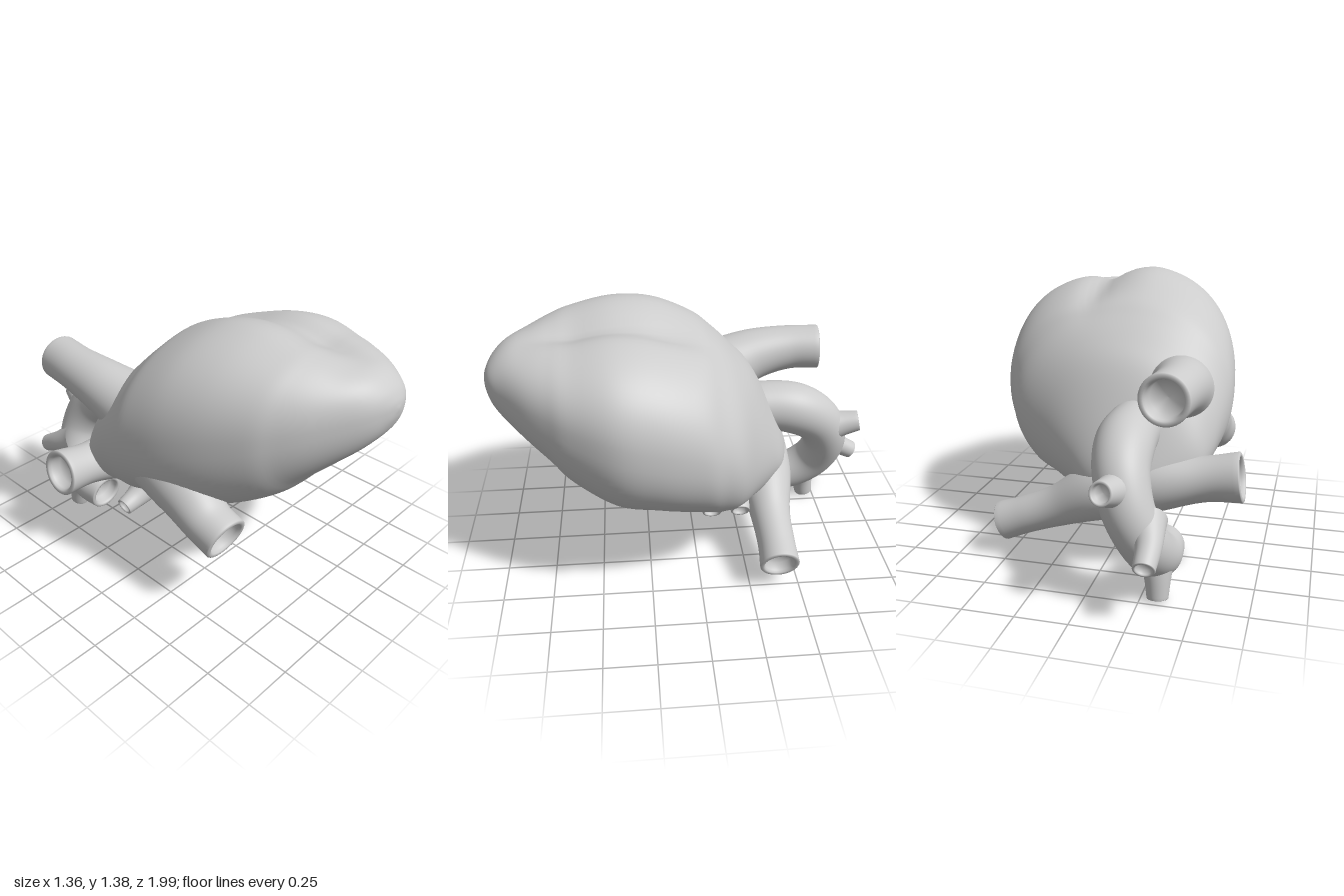
import * as THREE from 'three';

const material = new THREE.MeshStandardMaterial({ color: 0xcccccc, side: THREE.DoubleSide });
const SEG = 48;
const { smoothstep, lerp } = THREE.MathUtils;

// Joins closed rings of points into one smooth skin.
function skin(name, rings) {
  const n = rings[0].length, index = [];
  for (let i = 0; i < rings.length - 1; i++) {
    for (let j = 0; j < n; j++) {
      const a = i * n + j, b = i * n + (j + 1) % n;
      index.push(a, b, a + n, b, b + n, a + n);
    }
  }
  const geometry = new THREE.BufferGeometry().setFromPoints(rings.flat());
  geometry.setIndex(index);
  geometry.computeVertexNormals();
  const mesh = new THREE.Mesh(geometry, material);
  mesh.name = name;
  return mesh;
}

// Muscle body: cross-sections from the back to the rounded apex.
function heartBody() {
  // z, left x, right x, bottom y, top y, y of greatest width
  const sections = [
    [-0.52, -0.16, -0.12, 0.47, 0.50, 0.48],
    [-0.48, -0.32, 0.06, 0.36, 0.61, 0.48],
    [-0.40, -0.45, 0.20, 0.31, 0.79, 0.55],
    [-0.30, -0.50, 0.36, 0.29, 0.98, 0.62],
    [-0.20, -0.53, 0.52, 0.29, 1.10, 0.70],
    [-0.10, -0.55, 0.59, 0.31, 1.20, 0.75],
    [0.00, -0.56, 0.64, 0.36, 1.28, 0.80],
    [0.20, -0.54, 0.68, 0.42, 1.37, 0.86],
    [0.40, -0.48, 0.68, 0.46, 1.395, 0.92],
    [0.60, -0.38, 0.60, 0.58, 1.36, 0.98],
    [0.70, -0.30, 0.54, 0.69, 1.33, 1.01],
    [0.80, -0.20, 0.47, 0.79, 1.29, 1.04],
    [0.90, -0.07, 0.38, 0.89, 1.25, 1.07],
    [0.96, 0.03, 0.32, 0.97, 1.20, 1.09],
    [0.99, 0.12, 0.26, 1.04, 1.15, 1.10],
    [1.00, 0.19, 0.21, 1.09, 1.11, 1.10],
  ];
  const spline = k => new THREE.CatmullRomCurve3(
    sections.map(s => new THREE.Vector3(s[k], s[k + 1], s[k + 2])), false, 'catmullrom');
  const widths = spline(0), heights = spline(3);
  const rings = [], steps = 75;
  for (let i = 0; i <= steps; i++) {
    const { x: z, y: left, z: right } = widths.getPoint(i / steps);
    const { x: bottom, y: top, z: mid } = heights.getPoint(i / steps);
    const front = smoothstep(z, -0.3, 0.2);
    const furrow = smoothstep(z, -0.2, 0.2) * (1 - smoothstep(z, 0.55, 0.88));
    const ring = [];
    for (let j = 0; j < 96; j++) {
      const a = j / 96 * Math.PI * 2, c = Math.cos(a), s = Math.sin(a);
      const power = 2 / lerp(2, s > 0 ? 2.3 : 2.3 - 0.3 * s, front);
      const x = (left + right) / 2 + (right - left) / 2 * Math.sign(c) * Math.abs(c) ** power;
      let y = mid + (s > 0 ? top - mid : mid - bottom) * Math.sign(s) * Math.abs(s) ** power;
      // left ventricle sits lower on top, beyond a furrow
      const drop = 0.055 * smoothstep(x, -0.1, 0.2) + 0.035 * Math.exp(-(((x - 0.19) / 0.08) ** 2));
      y -= furrow * Math.max(s, 0) * drop;
      // underside rises under the left ventricle
      y = Math.max(y, 0.29 + 0.14 * smoothstep(x, 0.05, 0.33));
      ring.push(new THREE.Vector3(x, y, z));
    }
    rings.push(ring);
  }
  // close the ends
  const point = ([z, l, r, b, t]) =>
    Array.from({ length: 96 }, () => new THREE.Vector3((l + r) / 2, (b + t) / 2, z));
  return skin('heartBody', [point(sections[0]), ...rings, point(sections.at(-1))]);
}

// Vessel along points [x, y, z, radius]; ends can be hollow with a rounded rim.
function vessel(name, points, openStart = false, steps = 36) {
  const curve = new THREE.CatmullRomCurve3(points.map(p => new THREE.Vector3(p[0], p[1], p[2])));
  const frames = curve.computeFrenetFrames(steps);
  const radius = new THREE.CatmullRomCurve3(
    points.map((p, i) => new THREE.Vector3(i, p[3], 0)), false, 'catmullrom');
  const ringAt = (i, scale = 1, push = 0) => {
    const u = i / steps, centre = curve.getPointAt(u);
    const r = radius.getPoint(curve.getUtoTmapping(u)).y;
    centre.addScaledVector(frames.tangents[i], push * r);
    return Array.from({ length: SEG }, (_, j) => {
      const a = j / SEG * Math.PI * 2;
      return centre.clone()
        .addScaledVector(frames.normals[i], Math.cos(a) * r * scale)
        .addScaledVector(frames.binormals[i], Math.sin(a) * r * scale);
    });
  };
  // rim and hollow, from outside inwards: [scale, push]
  const lip = [[0.97, 0.04], [0.88, 0.06], [0.79, 0.03], [0.75, -0.1], [0.7, -0.5], [0, -0.55]];
  const rings = [];
  if (openStart) for (const [s, p] of [...lip].reverse()) rings.push(ringAt(0, s, -p));
  for (let i = 0; i <= steps; i++) rings.push(ringAt(i));
  for (const [s, p] of lip) rings.push(ringAt(steps, s, p));
  return skin(name, rings);
}

export function createModel() {
  const group = new THREE.Group();
  group.name = 'heart';
  group.add(heartBody());

  // Great arch curling behind the body, with three side branches
  group.add(vessel('aorticArch', [
    [-0.14, 0.68, -0.22, 0.14], [-0.14, 0.71, -0.40, 0.135], [-0.14, 0.685, -0.57, 0.14],
    [-0.16, 0.60, -0.70, 0.13], [-0.21, 0.45, -0.765, 0.12], [-0.28, 0.29, -0.73, 0.115],
    [-0.31, 0.19, -0.61, 0.11], [-0.31, 0.17, -0.47, 0.10]], false, 60));
  const branches = [
    [[-0.17, 0.54, -0.72, 0.11], [-0.15, 0.57, -0.83, 0.075], [-0.13, 0.595, -0.93, 0.055]],
    [[-0.28, 0.40, -0.74, 0.10], [-0.32, 0.35, -0.85, 0.062], [-0.325, 0.29, -0.965, 0.05]],
    [[-0.31, 0.22, -0.64, 0.10], [-0.325, 0.12, -0.68, 0.065], [-0.33, 0.015, -0.70, 0.05]],
  ];
  for (const b of branches) group.add(vessel('archBranch', b, false, 16));

  // Artery crossing behind the body, open at both sides
  group.add(vessel('pulmonaryArtery', [
    [0.54, 0.165, -0.39, 0.10], [0.42, 0.21, -0.39, 0.095], [0.25, 0.275, -0.385, 0.105],
    [0.02, 0.38, -0.385, 0.145], [-0.25, 0.45, -0.39, 0.14], [-0.48, 0.49, -0.39, 0.11],
    [-0.655, 0.515, -0.39, 0.12]], true, 50));

  // Two large veins on the right side
  group.add(vessel('rearVein', [
    [-0.28, 0.80, 0.02, 0.19], [-0.32, 0.86, -0.18, 0.17], [-0.355, 0.92, -0.36, 0.14],
    [-0.365, 0.95, -0.55, 0.12], [-0.35, 0.955, -0.715, 0.118]]));
  group.add(vessel('frontVein', [
    [-0.32, 0.68, 0.05, 0.21], [-0.36, 0.59, 0.24, 0.17], [-0.395, 0.50, 0.40, 0.125],
    [-0.40, 0.455, 0.53, 0.12]]));

  // Small veins under the body
  for (const z of [-0.08, -0.23]) {
    group.add(vessel('smallVeinLeft', [
      [0.02, 0.42, z, 0.11], [0.13, 0.34, z, 0.07], [0.23, 0.285, z, 0.05]], false, 16));
  }
  group.add(vessel('smallVeinRight', [
    [-0.28, 0.46, -0.08, 0.10], [-0.41, 0.40, -0.08, 0.06], [-0.50, 0.375, -0.08, 0.045]], false, 16));
  return group;
}
